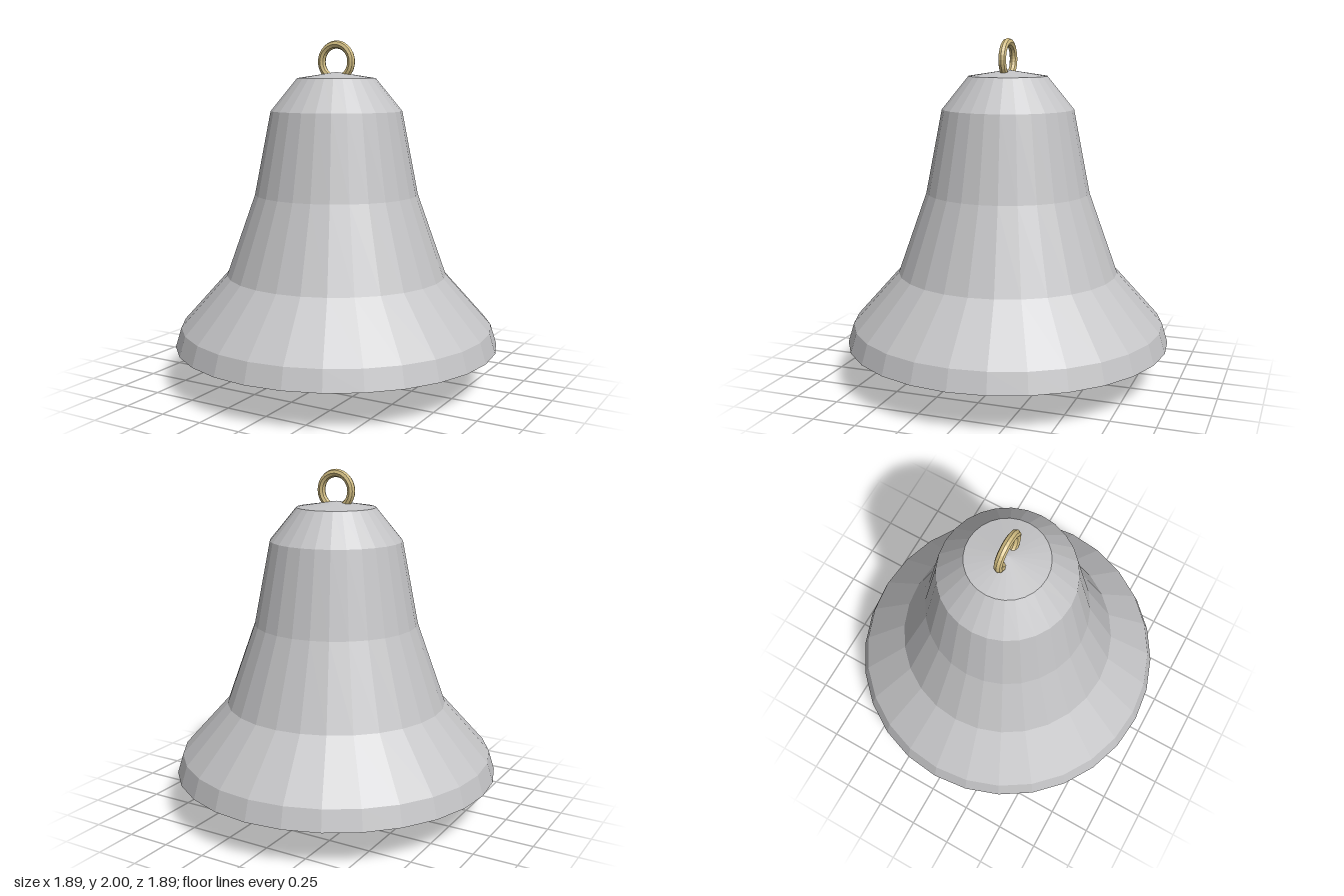
import * as THREE from 'three';

export function createModel() {
  const bell = new THREE.Group();
  bell.name = 'bell';

  const silver = new THREE.MeshStandardMaterial({ color: 0xc4c4c6 });
  silver.name = 'silver';
  silver.flatShading = true;
  const brass = new THREE.MeshStandardMaterial({ color: 0xd2bd82 });
  brass.name = 'brass';
  brass.flatShading = true;

  const add = (name, geometry, material, y) => {
    const mesh = new THREE.Mesh(geometry, material);
    mesh.name = name;
    mesh.position.y = y;
    bell.add(mesh);
    return mesh;
  };

  // Faceted bell body, closed by a flat base and a shallow crown
  const profile = [
    [0, 0.235], [0.947, 0.235], [0.912, 0.35], [0.643, 0.65],
    [0.475, 1.12], [0.38, 1.6], [0.227, 1.787], [0, 1.822],
  ].map(([r, y]) => new THREE.Vector2(r, y));
  add('bellBody', new THREE.LatheGeometry(profile, 28), silver, 0);

  // Clapper ball showing below the rim
  const clapper = new THREE.SphereGeometry(0.17, 12, 8);
  clapper.rotateY(Math.PI / 12);
  add('clapper', clapper, brass, 0.174);

  // Hanging ring, its lower part sunk into the crown
  add('hangingRing', new THREE.TorusGeometry(0.097, 0.023, 8, 28), brass, 1.88);

  return bell;
}
